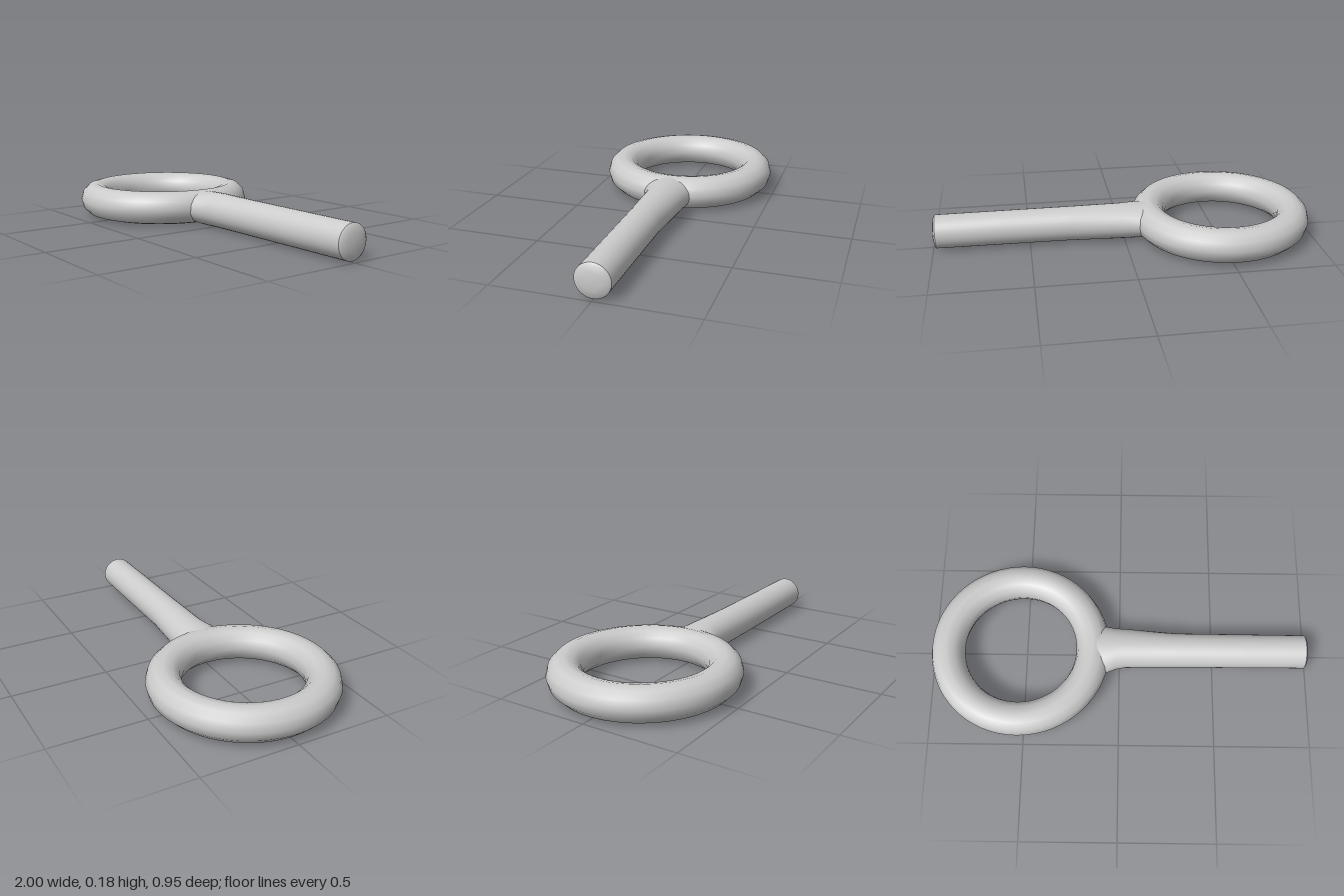
import * as THREE from 'three';
import { toCreasedNormals } from 'three/addons/utils/BufferGeometryUtils.js';

const material = new THREE.MeshStandardMaterial({ color: 0xcccccc, side: THREE.DoubleSide });

// Linear interpolation through [x, value] pairs
function sample(table, x) {
  for (let i = 1; i < table.length; i++) {
    const [x0, v0] = table[i - 1], [x1, v1] = table[i];
    if (x <= x1) return v0 + (v1 - v0) * (x - x0) / (x1 - x0);
  }
  return table[table.length - 1][1];
}

// Half-widths of the shank, flaring out where it joins the ring
const frontWidth = [[-0.14, 0.135], [-0.07, 0.128], [-0.02, 0.107], [0.03, 0.096], [0.3, 0.091], [1, 0.088]];
const backWidth = [[-0.14, 0.135], [-0.07, 0.128], [-0.02, 0.118], [0.03, 0.115], [0.3, 0.091], [1, 0.088]];

function shankGeometry() {
  // Lathe profile: radius, distance along the shank, ending in a slight dome
  const profile = [
    [0.086, -0.14], [0.089, -0.07], [0.091, -0.02], [0.091, 0.03], [0.09, 0.3],
    [0.089, 0.65], [0.088, 0.982], [0.078, 0.99], [0.045, 0.997], [0, 1],
  ].map(([r, y]) => new THREE.Vector2(r, y));
  const geometry = new THREE.LatheGeometry(profile, 32);
  geometry.rotateZ(-Math.PI / 2);
  // Widen the section sideways towards the ring
  const p = geometry.attributes.position;
  for (let i = 0; i < p.count; i++) {
    const x = p.getX(i), z = p.getZ(i);
    const width = sample(z > 0 ? frontWidth : backWidth, x);
    p.setZ(i, z * width / sample([[-0.14, 0.086], [-0.02, 0.091], [0.3, 0.09], [1, 0.088]], x));
  }
  return toCreasedNormals(geometry, 0.6);
}

export function createModel() {
  const model = new THREE.Group();

  // Flat-lying ring
  const ring = new THREE.Mesh(new THREE.TorusGeometry(0.386, 0.089, 12, 64).rotateX(Math.PI / 2), material);
  ring.name = 'ring';
  ring.position.set(-0.525, 0.095, 0);

  // Straight round shank
  const shank = new THREE.Mesh(shankGeometry(), material);
  shank.name = 'shank';
  shank.position.y = 0.092;

  model.add(ring, shank);
  return model;
}
